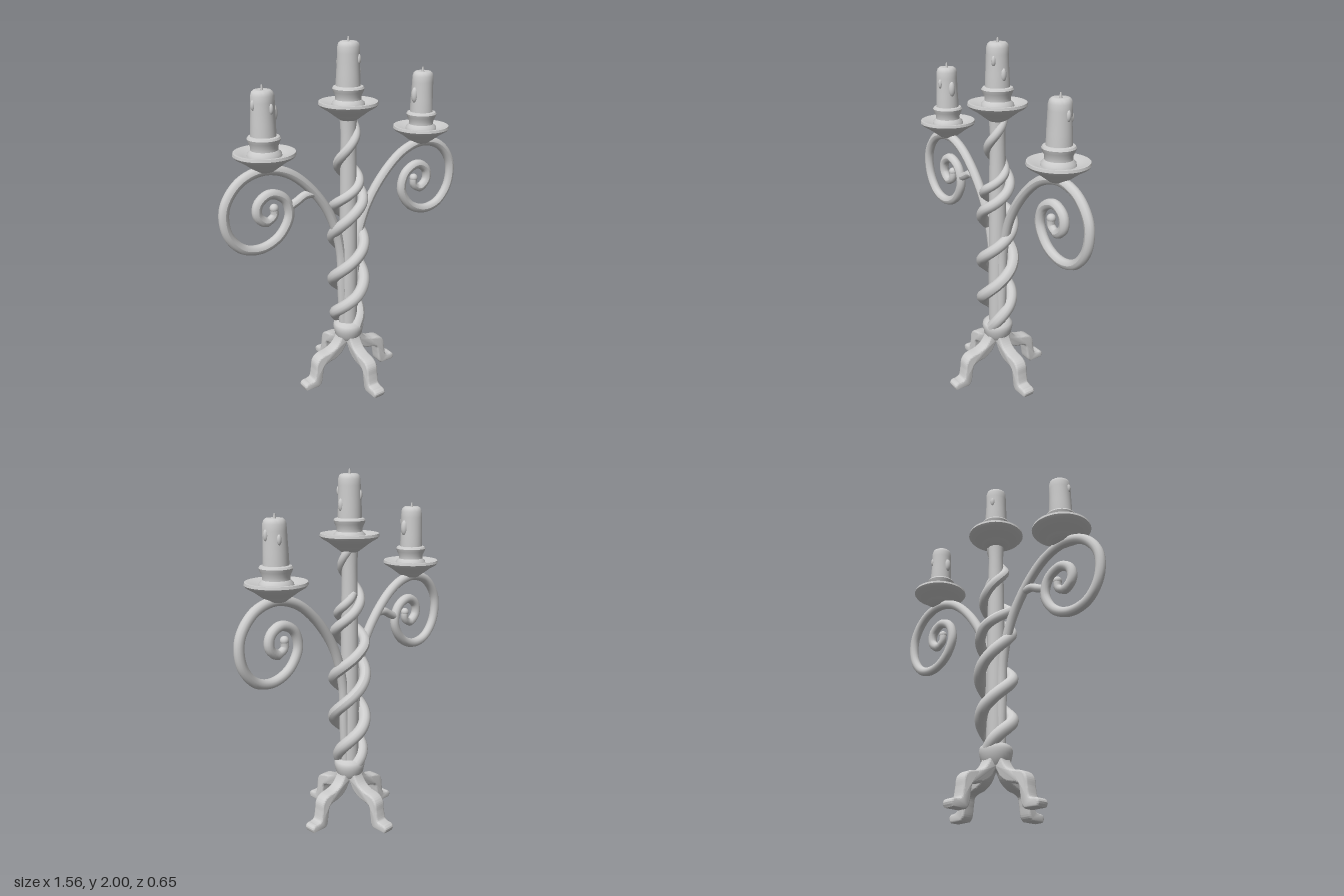
import * as THREE from 'three';
import { toCreasedNormals } from 'three/addons/utils/BufferGeometryUtils.js';

const metal = new THREE.MeshStandardMaterial({ color: 0xcccccc });
metal.name = 'pale grey';

const V = (x, y, z = 0) => new THREE.Vector3(x, y, z);

function add(parent, name, geometry) {
  const mesh = new THREE.Mesh(geometry, metal);
  mesh.name = name;
  parent.add(mesh);
  return mesh;
}

function lathe(points, segments = 40) {
  const g = new THREE.LatheGeometry(points.map(p => new THREE.Vector2(...p)), segments);
  return toCreasedNormals(g, 0.7);
}

// Tube whose radius follows radiusAt(t)
function taperedTube(curve, segments, radiusAt, sides = 12) {
  const g = new THREE.TubeGeometry(curve, segments, 1, sides, false);
  const p = g.attributes.position, v = V(0, 0);
  for (let i = 0; i <= segments; i++) {
    const t = i / segments, centre = curve.getPointAt(t);
    for (let j = 0; j <= sides; j++) {
      const k = i * (sides + 1) + j;
      v.fromBufferAttribute(p, k).sub(centre).multiplyScalar(radiusAt(t)).add(centre);
      p.setXYZ(k, v.x, v.y, v.z);
    }
  }
  g.computeVertexNormals();
  return g;
}

// Drip pan, socket, candle and wick; y = 0 is the top of the pan rim
function makeCandleHolder(name, x, y, drips) {
  const holder = new THREE.Group();
  holder.name = name;
  holder.position.set(x, y, 0);

  add(holder, 'dripPan', lathe([
    [0, -0.1], [0.045, -0.1], [0.075, -0.078], [0.115, -0.048], [0.152, -0.026], [0.161, -0.014],
    [0.158, 0], [0.148, 0.002], [0.11, -0.018], [0.07, -0.022], [0, -0.022]]));
  add(holder, 'socket', lathe([
    [0.09, -0.025], [0.086, -0.005], [0.07, 0.01], [0.07, 0.028], [0.08, 0.05], [0.086, 0.068],
    [0.08, 0.078], [0.068, 0.082], [0.05, 0.08]]));

  // Slightly uneven wax column
  const wax = lathe([[0.066, 0.02], [0.065, 0.1], [0.063, 0.15], [0.061, 0.2], [0.06, 0.25],
    [0.059, 0.282], [0.053, 0.3], [0.042, 0.309], [0.02, 0.309], [0, 0.303]], 32);
  const p = wax.attributes.position;
  for (let i = 0; i < p.count; i++) {
    const a = Math.atan2(p.getX(i), p.getZ(i));
    const s = 1 + 0.025 * Math.sin(3 * a + 18 * p.getY(i));
    p.setXYZ(i, p.getX(i) * s, p.getY(i), p.getZ(i) * s);
  }
  add(holder, 'candle', wax);

  for (const [angle, height, size] of drips) {
    const drip = add(holder, 'waxDrip', new THREE.SphereGeometry(1, 14, 10));
    drip.scale.set(size, size * 2.2, size);
    drip.position.set(0.058 * Math.sin(angle), height, 0.058 * Math.cos(angle));
  }
  const wick = add(holder, 'wick', new THREE.CylinderGeometry(0.004, 0.009, 0.035, 8));
  wick.position.y = 0.315;
  return holder;
}

// Vine twisting up the stem: keys are [turn, y, distance from the axis]
function makeVine(keys, radiusAt) {
  const points = [];
  for (let k = 0; k < keys.length - 1; k++) {
    const [a, b] = [keys[k], keys[k + 1]];
    const steps = Math.max(2, Math.round((b[0] - a[0]) * 12));
    for (let i = k ? 1 : 0; i <= steps; i++) {
      const [turn, y, r] = a.map((value, n) => THREE.MathUtils.lerp(value, b[n], i / steps));
      const angle = turn * 2 * Math.PI;
      points.push(V(r * Math.sin(angle), y, r * Math.cos(angle)));
    }
  }
  return taperedTube(new THREE.CatmullRomCurve3(points), 150, radiusAt);
}

// Side arm running up the stem, out under the pan and into a scroll
function makeArm(side) {
  const points = [[0.035, 0.36], [0.045, 0.6], [0.055, 0.83], [0.12, 1.05], [0.25, 1.235], [0.39, 1.345],
    [0.53, 1.377], [0.66, 1.335], [0.745, 1.22], [0.738, 1.08], [0.66, 0.982], [0.55, 0.958],
    [0.44, 1.005], [0.378, 1.11], [0.405, 1.205], [0.49, 1.245], [0.558, 1.205], [0.565, 1.14],
    [0.515, 1.098], [0.468, 1.125], [0.468, 1.165]];
  const curve = new THREE.CatmullRomCurve3(points.map(([x, y]) => V(side * x, y)));
  return taperedTube(curve, 170, t => (t > 0.97 ? 0.022 : 0.027));
}

// Strap leg with a flat toe, drawn in profile and extruded
function makeLeg() {
  const v = pts => pts.map(p => new THREE.Vector2(...p));
  const shape = new THREE.Shape();
  shape.moveTo(0, 0.31);
  shape.lineTo(0.06, 0.31);
  shape.splineThru(v([[0.068, 0.27], [0.1, 0.225], [0.145, 0.202], [0.205, 0.188], [0.233, 0.16],
    [0.24, 0.11], [0.252, 0.058], [0.28, 0.043], [0.304, 0.041], [0.313, 0.03], [0.308, 0.017]]));
  shape.lineTo(0.232, 0.017);
  shape.splineThru(v([[0.218, 0.035], [0.209, 0.09], [0.198, 0.135], [0.165, 0.153], [0.115, 0.165],
    [0.07, 0.195], [0.035, 0.245], [0, 0.26]]));
  shape.closePath();
  const g = new THREE.ExtrudeGeometry(shape, {
    depth: 0.05, curveSegments: 24, bevelEnabled: true, bevelThickness: 0.012, bevelSize: 0.01, bevelSegments: 3,
  });
  g.translate(0, 0, -0.025);
  return toCreasedNormals(g, 0.8);
}

export function createModel() {
  const model = new THREE.Group();
  model.name = 'candelabra';

  // Stem and collar
  add(model, 'stem', lathe([[0, 0.24], [0.045, 0.24], [0.052, 0.4], [0.05, 0.9], [0.046, 1.3],
    [0.042, 1.5], [0.048, 1.6], [0, 1.6]], 24));
  add(model, 'collar', lathe([[0, 0.25], [0.06, 0.255], [0.08, 0.285], [0.086, 0.315], [0.09, 0.335],
    [0.085, 0.355], [0.068, 0.368], [0, 0.368]], 32));

  // Four legs
  for (let i = 0; i < 4; i++) {
    add(model, 'leg', makeLeg()).rotation.y = i * Math.PI / 2;
  }

  // Twisting vines
  const thickness = t => 0.035 - 0.012 * t * t;
  add(model, 'vine', makeVine([[-0.5, 0.34, 0.055], [-0.25, 0.45, 0.085], [0, 0.56, 0.09], [1, 1.08, 0.088],
    [1.5, 1.27, 0.062], [2, 1.46, 0.048], [2.4, 1.6, 0.03]], thickness));
  add(model, 'vine', makeVine([[-0.95, 0.34, 0.055], [-0.75, 0.44, 0.07], [-0.5, 0.56, 0.088], [0, 0.8, 0.09],
    [0.5, 1.03, 0.088], [1, 1.2, 0.072], [1.3, 1.29, 0.05], [1.5, 1.35, 0.03]], thickness));

  // Scrolled arms
  for (const side of [1, -1]) {
    add(model, side > 0 ? 'leftArm' : 'rightArm', makeArm(side));
    const tip = add(model, 'scrollTip', new THREE.SphereGeometry(0.024, 14, 10));
    tip.position.set(side * 0.468, 1.165, 0);
  }
  const link = new THREE.CatmullRomCurve3([V(-0.22, 1.2), V(-0.28, 1.2), V(-0.33, 1.175), V(-0.385, 1.15)]);
  add(model, 'armLink', taperedTube(link, 16, () => 0.023));

  // Candles
  model.add(
    makeCandleHolder('centreCandle', 0, 1.672, [[1.5, 0.15, 0.016], [0.6, 0.22, 0.012], [3.6, 0.2, 0.013]]),
    makeCandleHolder('leftCandle', 0.51, 1.475, [[-1.5, 0.18, 0.02], [1.6, 0.23, 0.013], [2.8, 0.21, 0.012]]),
    makeCandleHolder('rightCandle', -0.51, 1.475, [[1.5, 0.19, 0.02], [-1.4, 0.24, 0.012], [0.3, 0.22, 0.012]]));
  return model;
}
